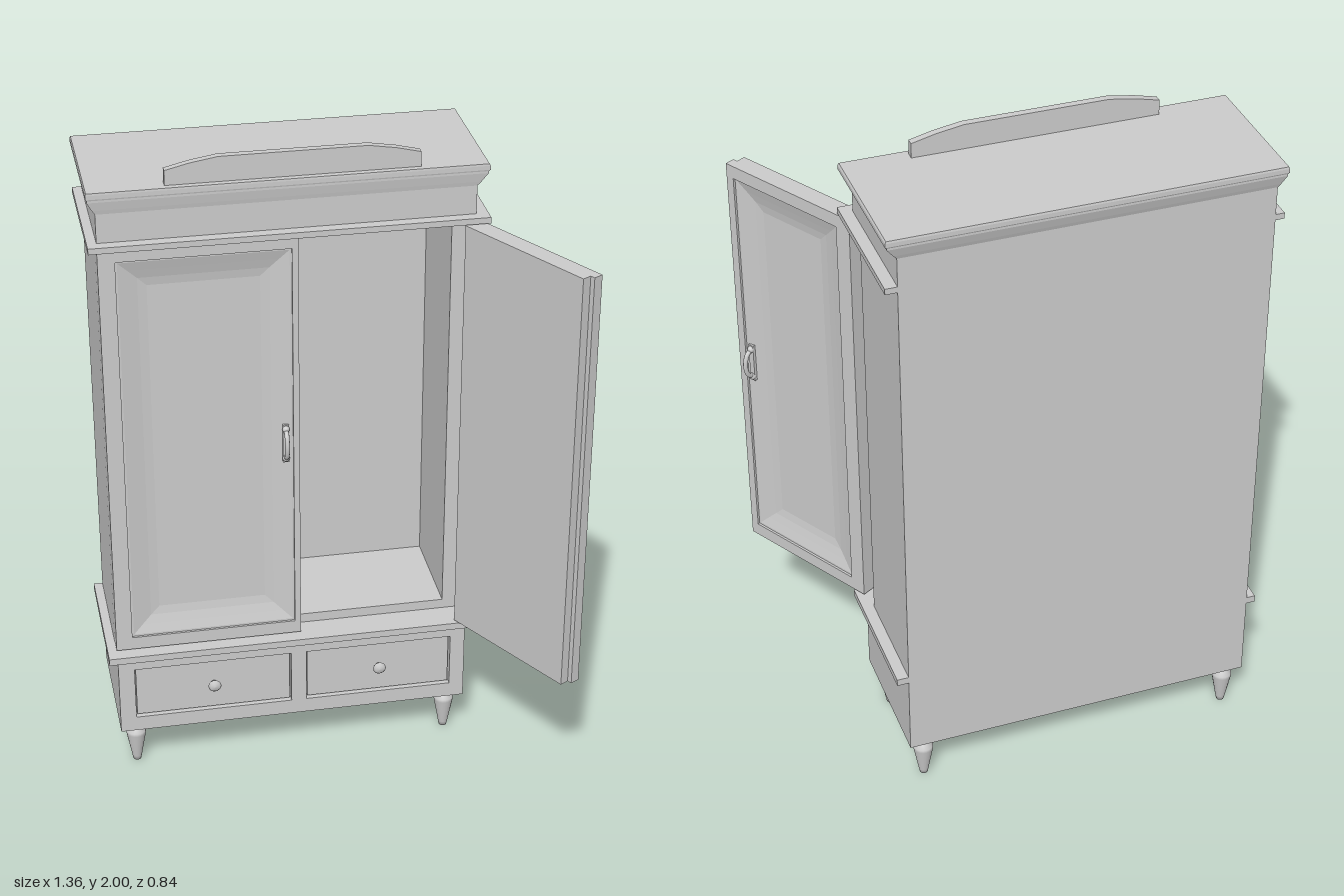
import * as THREE from 'three';

const mat = new THREE.MeshStandardMaterial({ color: 0xcccccc });
const flat = new THREE.MeshStandardMaterial({ color: 0xcccccc, flatShading: true });

// Outer faces of the cabinet
const L = -0.655, R = 0.42, BACK = -0.405, MID = (L + R) / 2;

function add(parent, name, geo, material = mat) {
  const m = new THREE.Mesh(geo, material);
  m.name = name;
  parent.add(m);
  return m;
}

// Box given by its limits on each axis
function box(parent, name, x0, x1, y0, y1, z0, z1) {
  const g = new THREE.BoxGeometry(x1 - x0, y1 - y0, z1 - z0);
  g.translate((x0 + x1) / 2, (y0 + y1) / 2, (z0 + z1) / 2);
  return add(parent, name, g);
}

function rect(Type, x0, x1, y0, y1) {
  const p = new Type();
  p.moveTo(x0, y0);
  p.lineTo(x1, y0);
  p.lineTo(x1, y1);
  p.lineTo(x0, y1);
  p.closePath();
  return p;
}

// Flat board with rectangular openings, z0 to z1
function frame(parent, name, outer, holes, z0, z1) {
  const s = rect(THREE.Shape, ...outer);
  holes.forEach(h => s.holes.push(rect(THREE.Path, ...h)));
  const g = new THREE.ExtrudeGeometry(s, { depth: z1 - z0, bevelEnabled: false });
  g.translate(0, 0, z0);
  return add(parent, name, g);
}

// Skin through rectangular rings [x0, x1, y0, y1, z], closed at the last ring
function loft(rings) {
  const pts = [];
  const corners = ([x0, x1, y0, y1, z]) => [[x0, y0, z], [x1, y0, z], [x1, y1, z], [x0, y1, z]];
  const quad = (a, b, c, d) => pts.push(...a, ...b, ...c, ...a, ...c, ...d);
  for (let i = 0; i < rings.length - 1; i++) {
    const p = corners(rings[i]), q = corners(rings[i + 1]);
    for (let k = 0; k < 4; k++) {
      const n = (k + 1) % 4;
      quad(p[k], p[n], q[n], q[k]);
    }
  }
  quad(...corners(rings[rings.length - 1]));
  const g = new THREE.BufferGeometry();
  g.setAttribute('position', new THREE.Float32BufferAttribute(pts, 3));
  g.computeVertexNormals();
  return g;
}

function lathe(points, segments = 20) {
  return new THREE.LatheGeometry(points.map(p => new THREE.Vector2(...p)), segments);
}

// Door with its front at z = 0: lip, inner slab, coved panel and handle
function makeDoor(name, lip, slab, panel, handleX) {
  const door = new THREE.Group();
  door.name = name;
  const y0 = 0.426, y1 = 1.75, p0 = 0.467, p1 = 1.71;
  frame(door, 'doorFrame', [...lip, y0, y1], [[...panel, p0, p1]], -0.03, 0);
  box(door, 'doorSlab', ...slab, y0, y1, -0.058, -0.03);
  const ring = (d, z) => [panel[0] + d, panel[1] - d, p0 + d, p1 - d, z];
  add(door, 'doorPanel', loft([
    ring(0, 0), ring(0, -0.007), ring(0.006, -0.007), ring(0.035, -0.015),
    ring(0.062, -0.022), ring(0.088, -0.026),
  ]), flat);

  // Bow handle on a slim plate
  const handle = new THREE.Group();
  handle.name = 'handle';
  handle.position.set(handleX, 1.085, -0.01);
  door.add(handle);
  box(handle, 'handlePlate', -0.009, 0.009, -0.062, 0.062, -0.006, 0.006);
  const bow = new THREE.CatmullRomCurve3([[-0.048, 0], [-0.036, 0.022], [0, 0.032], [0.036, 0.022], [0.048, 0]]
    .map(([y, z]) => new THREE.Vector3(0, y, z)));
  add(handle, 'handleBow', new THREE.TubeGeometry(bow, 20, 0.007, 10));
  for (const s of [-1, 1]) {
    add(handle, 'handleBoss', new THREE.SphereGeometry(0.011, 12, 8)).position.set(0, s * 0.048, 0.006);
  }
  return door;
}

export function createModel() {
  const root = new THREE.Group();
  root.name = 'wardrobe';

  // Turned legs
  const legGeo = lathe([[0, 0], [0.012, 0], [0.015, 0.015], [0.03, 0.098], [0.03, 0.108],
    [0.02, 0.122], [0.018, 0.126], [0.023, 0.13], [0.023, 0.142]]);
  for (const x of [-0.605, 0.37]) {
    for (const z of [-0.037, -0.37]) add(root, 'leg', legGeo).position.set(x, 0, z);
  }

  // Drawer base with two recessed drawers
  const drawers = [[-0.606, -0.124], [-0.077, 0.375]];
  box(root, 'base', L, R, 0.14, 0.4, BACK, -0.015);
  frame(root, 'drawerSurround', [L, R, 0.14, 0.4], drawers.map(d => [...d, 0.188, 0.362]), -0.015, 0.013);
  const knobGeo = lathe([[0, 0], [0.01, 0], [0.009, 0.01], [0.017, 0.016], [0.02, 0.022], [0.014, 0.029], [0, 0.031]]);
  knobGeo.rotateX(Math.PI / 2);
  for (const [a, b] of drawers) {
    box(root, 'drawerFront', a + 0.004, b - 0.004, 0.192, 0.358, -0.02, 0.002);
    add(root, 'drawerKnob', knobGeo).position.set((a + b) / 2 + 0.002, 0.277, -0.002);
  }

  // Mouldings below and above the doors
  box(root, 'lowerMoulding', L - 0.027, R + 0.035, 0.398, 0.42, BACK, 0.03);
  box(root, 'upperMoulding', L - 0.027, R + 0.035, 1.756, 1.774, BACK, 0.03);

  // Hollow carcass with a dividing wall
  const front = -0.065, t = 0.055;
  box(root, 'sideRight', L, L + t, 0.42, 1.756, BACK, front);
  box(root, 'sideLeft', R - t, R, 0.42, 1.756, BACK, front);
  box(root, 'divider', MID - 0.0275, MID + 0.0275, 0.42, 1.756, BACK + 0.02, front);
  box(root, 'back', L + t, R - t, 0.42, 1.756, BACK, BACK + 0.02);
  box(root, 'floor', L + t, R - t, 0.42, 0.45, BACK + 0.02, front);
  box(root, 'ceiling', L + t, R - t, 1.725, 1.756, BACK + 0.02, front);

  // Closed door and open door, hinged on the outer edges
  const closed = makeDoor('closedDoor', [0, 0.565], [0, 0.565], [0.049, 0.547], 0.525);
  closed.position.set(L, 0, -0.006);
  root.add(closed);
  const open = makeDoor('openDoor', [-0.475, 0], [-0.46, 0], [-0.449, -0.05], -0.43);
  open.position.set(0.434, 0, -0.0095);
  open.rotation.y = THREE.MathUtils.degToRad(120);
  root.add(open);

  // Frieze and flared cornice
  box(root, 'frieze', L, R, 1.774, 1.865, BACK, -0.003);
  const step = (f, y) => [L - 0.025 * f, R + 0.035 * f, 0.003 - 0.008 * f, -BACK + 0.015 * f, y];
  const cornice = loft([step(0, 1.86), step(0.3, 1.872), step(0.85, 1.898), step(0.85, 1.904),
    step(1, 1.908), step(1, 1.92), step(0.9, 1.926)]);
  cornice.rotateX(-Math.PI / 2);
  add(root, 'cornice', cornice, flat);

  // Crest board on top
  const crest = new THREE.Shape([[-0.46, 1.92], [0.26, 1.92], [0.26, 1.97], [0.19, 1.987], [0.11, 2],
    [-0.31, 2], [-0.39, 1.987], [-0.46, 1.97]].map(p => new THREE.Vector2(...p)));
  const crestGeo = new THREE.ExtrudeGeometry(crest, { depth: 0.022, bevelEnabled: false });
  crestGeo.translate(0, 0, -0.036);
  add(root, 'crest', crestGeo);

  return root;
}
